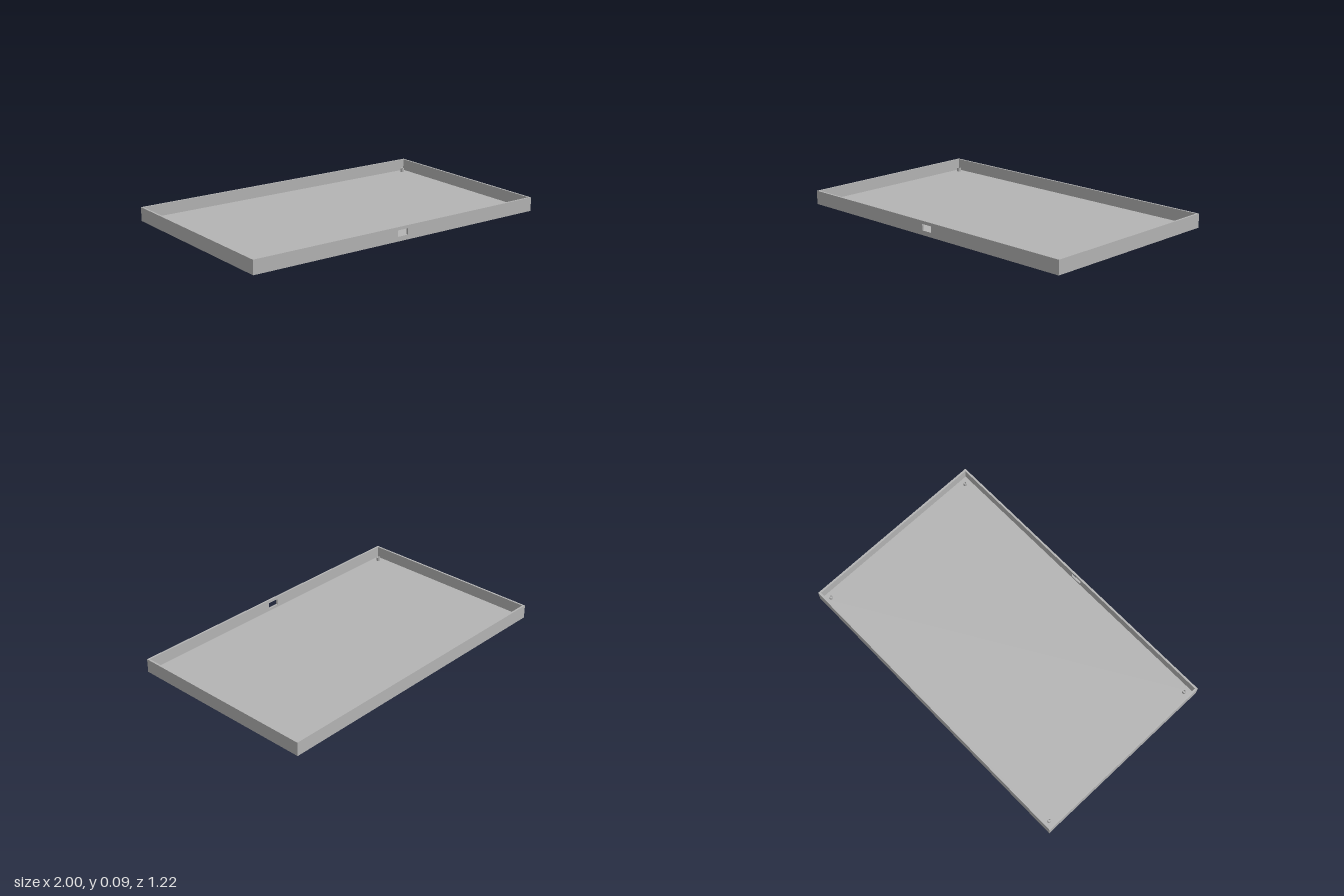
import * as THREE from 'three';

const W = 2, D = 1.216, H = 0.085, T = 0.012;

function rectShape(x0, y0, x1, y1, Kind = THREE.Shape) {
  const s = new Kind();
  s.moveTo(x0, y0);
  s.lineTo(x1, y0);
  s.lineTo(x1, y1);
  s.lineTo(x0, y1);
  s.closePath();
  return s;
}

export function createModel() {
  const group = new THREE.Group();
  const grey = new THREE.MeshStandardMaterial({ color: 0xb4b4b4 });
  grey.name = 'grey';

  const add = (name, geometry, x, y, z) => {
    const mesh = new THREE.Mesh(geometry, grey);
    mesh.name = name;
    mesh.position.set(x, y, z);
    group.add(mesh);
    return mesh;
  };

  // Base plate
  add('floor', new THREE.BoxGeometry(W, T, D), 0, T / 2, 0);

  // Plain walls
  const wallH = H - T, wallY = T + wallH / 2;
  add('backWall', new THREE.BoxGeometry(W, wallH, T), 0, wallY, -D / 2 + T / 2);
  for (const side of [-1, 1]) {
    add(side > 0 ? 'leftWall' : 'rightWall',
      new THREE.BoxGeometry(T, wallH, D - 2 * T), side * (W - T) / 2, wallY, 0);
  }

  // Front wall with a rectangular port cut through it
  const front = rectShape(-W / 2, T, W / 2, H);
  front.holes.push(rectShape(-0.036, 0.028, 0.036, 0.066, THREE.Path));
  add('frontWall', new THREE.ExtrudeGeometry(front, { depth: T, bevelEnabled: false }), 0, 0, D / 2 - T);

  // Hollow screw posts in the corners
  const post = new THREE.Shape();
  post.absarc(0, 0, 0.012, 0, Math.PI * 2);
  const bore = new THREE.Path();
  bore.absarc(0, 0, 0.006, 0, Math.PI * 2, true);
  post.holes.push(bore);
  const postGeometry = new THREE.ExtrudeGeometry(post, { depth: 0.024, bevelEnabled: false, curveSegments: 24 });
  postGeometry.rotateX(-Math.PI / 2);
  for (const x of [-0.949, 0.949]) {
    for (const z of [-0.56, 0.557]) add('screwPost', postGeometry, x, T, z);
  }
  return group;
}
